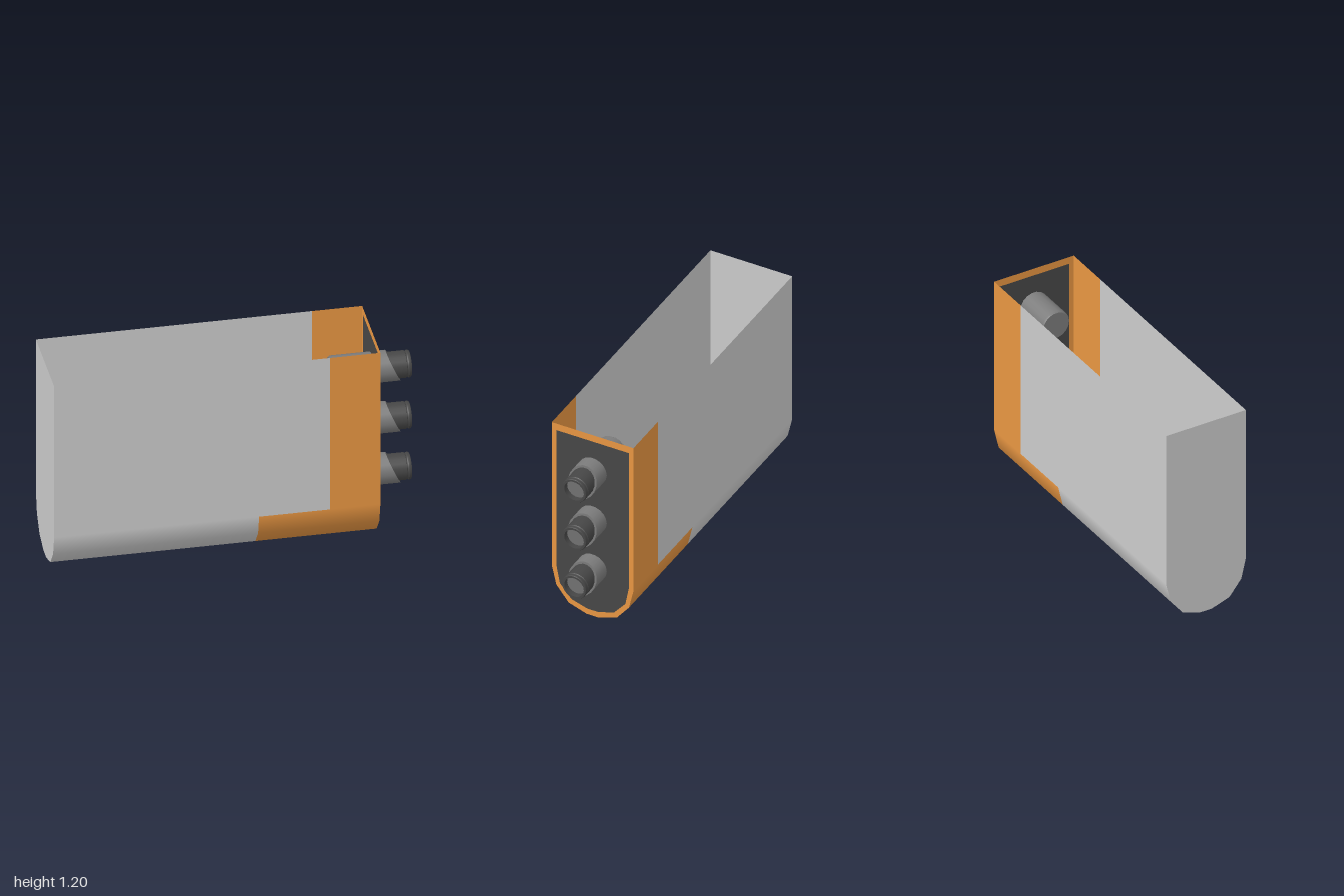
import * as THREE from 'three';

const mat = (color) => new THREE.MeshStandardMaterial({ color, side: THREE.DoubleSide });
const grey = mat(0xcccccc), orange = mat(0xe89642), dark = mat(0x474747);
const pipeGrey = mat(0x7c7c7c), capGrey = mat(0x717171);

const TOP = 1.2, SPRING = 0.25, FRONT_X = 0.79;
// rounded trough bottom as [z, y], mirrored to both sides
const half = [[0.25, SPRING], [0.222, 0.13], [0.147, 0.037], [0.037, 0]];
const innerHalf = [[0.222, 0.26], [0.2, 0.147], [0.13, 0.066], [0.034, 0.036]];
const mirrored = (pts) => [...pts, ...[...pts].reverse().map(([z, y]) => [-z, y])];

function mesh(name, geometry, material) {
  const m = new THREE.Mesh(geometry, material);
  m.name = name;
  return m;
}

// sheet swept along x from a [z, y] profile, with smooth outward normals
function sheet(profile, x0, x1) {
  const pos = [], nor = [], idx = [];
  profile.forEach(([z, y], i) => {
    const n = new THREE.Vector3(0, Math.min(y - SPRING, 0), z).normalize();
    pos.push(x0, y, z, x1, y, z);
    nor.push(...n.toArray(), ...n.toArray());
    const a = i * 2;
    if (i < profile.length - 1) idx.push(a, a + 2, a + 3, a, a + 3, a + 1);
  });
  const g = new THREE.BufferGeometry();
  g.setAttribute('position', new THREE.Float32BufferAttribute(pos, 3));
  g.setAttribute('normal', new THREE.Float32BufferAttribute(nor, 3));
  g.setIndex(idx);
  return g;
}

// closed outline of an end face
function outline(pts, top) {
  const z = pts[0][0];
  return [[-z, top], [z, top], ...mirrored(pts)].map(([u, v]) => new THREE.Vector2(u, v));
}

// flat end face at x, facing +x (dir 1) or -x (dir -1)
const endFace = (shape, x, dir) =>
  new THREE.ShapeGeometry(shape).rotateY(dir * Math.PI / 2).translate(x, 0, 0);

// lathe around the x axis from [radius, x] points; repeated points make sharp edges
const latheX = (pts) =>
  new THREE.LatheGeometry(pts.map(([r, x]) => new THREE.Vector2(r, x)), 18).rotateZ(-Math.PI / 2);

function makePipe() {
  const pipe = new THREE.Group();
  pipe.name = 'pipe';
  // outer sleeve, its free end sheared to a slanted cut
  const sleeve = latheX([[0, 0.56], [0.08, 0.56], [0.08, 0.56], [0.0865, 0.568],
    [0.0865, 0.9], [0.0865, 0.9], [0.07, 0.9]]);
  const p = sleeve.attributes.position;
  for (let i = 0; i < p.count; i++) {
    if (p.getX(i) > 0.8) p.setX(i, 0.908 - 0.44 * p.getY(i));
  }
  pipe.add(mesh('pipeSleeve', sleeve, pipeGrey));
  // inner tube with a groove and a recessed mouth
  pipe.add(mesh('pipeTube', latheX([[0.075, 0.82], [0.075, 0.973], [0.075, 0.973], [0.071, 0.976],
    [0.071, 0.982], [0.075, 0.985], [0.075, 0.985], [0.075, 0.995], [0.072, 1], [0.072, 1],
    [0.06, 1], [0.06, 1], [0.06, 0.965]]), dark));
  pipe.add(mesh('pipeCap',
    new THREE.CircleGeometry(0.06, 18).rotateY(Math.PI / 2).translate(0.967, 0, 0), capGrey));
  return pipe;
}

export function createModel() {
  const model = new THREE.Group();
  model.name = 'trough';

  // side walls, grey at the rear and orange at the nose
  for (const s of [1, -1]) {
    const wall = s > 0 ? [[0.25, TOP], [0.25, SPRING]] : [[-0.25, SPRING], [-0.25, TOP]];
    model.add(mesh('sideWall', sheet(wall, -1, 0.515), grey));
    model.add(mesh('noseWall', sheet(wall, 0.515, FRONT_X), orange));
  }

  // rounded bottom
  const bottom = mirrored(half);
  model.add(mesh('bottom', sheet(bottom, -1, 0.125), grey));
  model.add(mesh('noseBottom', sheet(bottom, 0.125, FRONT_X), orange));

  // end faces
  const outer = outline(half, TOP), inner = outline(innerHalf, 1.157);
  model.add(mesh('endWall', endFace(new THREE.Shape(outer), -1, -1), grey));
  const rim = new THREE.Shape(outer);
  rim.holes.push(new THREE.Path(inner));
  model.add(mesh('noseRim', endFace(rim, FRONT_X, 1), orange));
  model.add(mesh('nosePanel', endFace(new THREE.Shape(inner), FRONT_X, 1), dark));

  // three pipes through the nose panel
  for (const y of [0.322, 0.642, 0.962]) {
    const pipe = makePipe();
    pipe.position.y = y;
    model.add(pipe);
  }
  return model;
}
